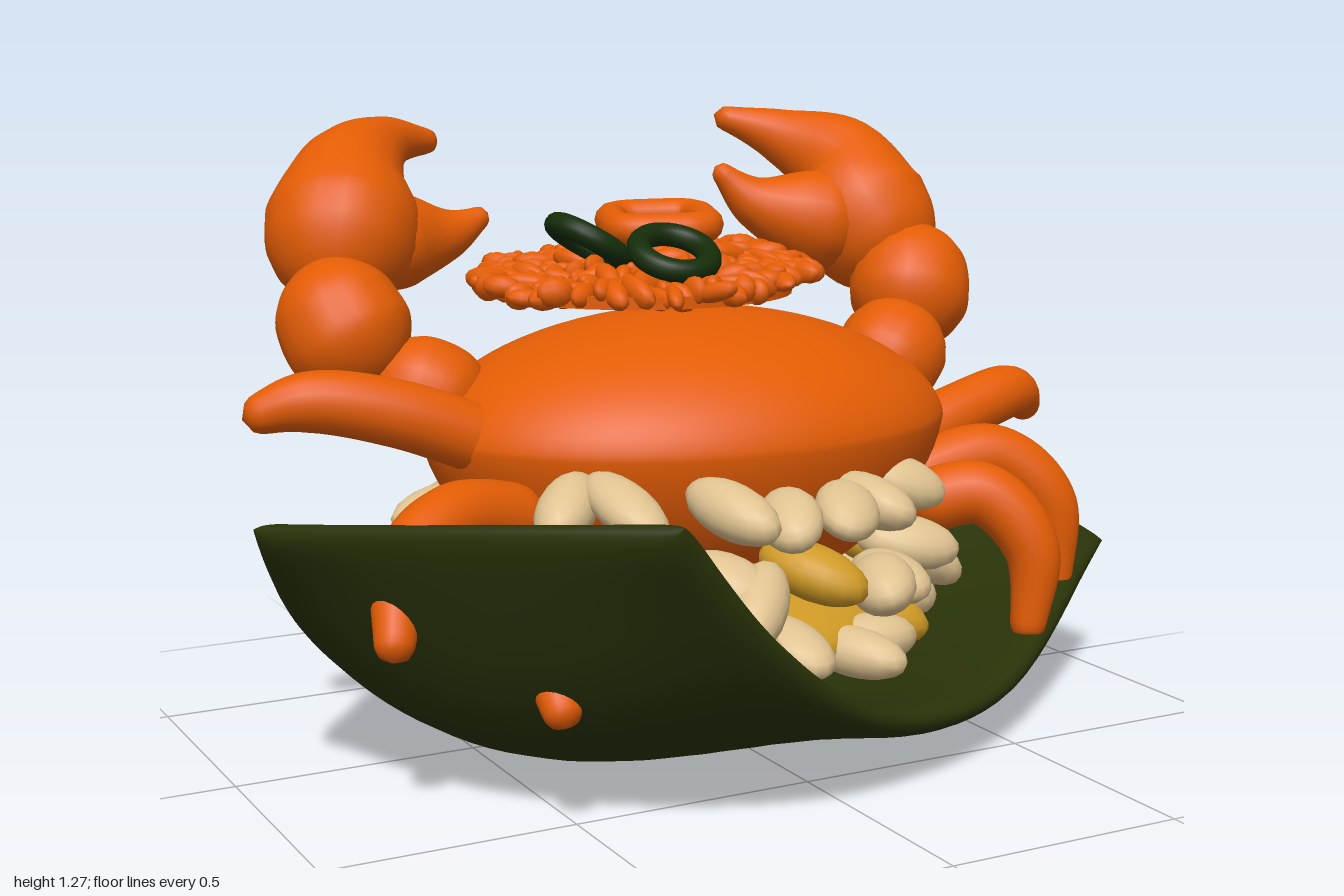
import * as THREE from 'three';
import { mergeVertices, mergeGeometries } from 'three/addons/utils/BufferGeometryUtils.js';
import { ParametricGeometry } from 'three/addons/geometries/ParametricGeometry.js';

const V = (p) => new THREE.Vector3(...p);

function material(name, color) {
  const m = new THREE.MeshStandardMaterial({ color });
  m.name = name;
  return m;
}

// Seeded random in -1..1
let seed = 7;
function rnd() {
  seed = (seed * 16807) % 2147483647;
  return (seed / 2147483647) * 2 - 1;
}

// Weld a geometry and give it continuous smooth normals
function smooth(g) {
  g.deleteAttribute('uv');
  g.deleteAttribute('normal');
  g = mergeVertices(g, 1e-5);
  g.computeVertexNormals();
  return g;
}

// Round-ended limb swept along a curve, with one radius per point
function limbGeometry(points, radii) {
  const curve = new THREE.CatmullRomCurve3(points.map(V));
  const width = new THREE.SplineCurve(radii.map((r, i) => new THREE.Vector2(i, r)));
  const seg = 40, sides = 18, length = curve.getLength();
  const g = new THREE.TubeGeometry(curve, seg, 1, sides);
  const pos = g.attributes.position, p = new THREE.Vector3();
  const cap = (d, r) => Math.sqrt(Math.max(0, 1 - (1 - Math.min(d / r, 1)) ** 2));
  for (let i = 0; i <= seg; i++) {
    const t = i / seg, c = curve.getPointAt(t);
    const r = width.getPoint(curve.getUtoTmapping(t)).y;
    const s = r * cap(t * length, radii[0]) * cap((1 - t) * length, radii[radii.length - 1]);
    for (let j = 0; j <= sides; j++) {
      const k = i * (sides + 1) + j;
      p.fromBufferAttribute(pos, k).sub(c).multiplyScalar(s).add(c);
      pos.setXYZ(k, p.x, p.y, p.z);
    }
  }
  return smooth(g);
}

// Curved wrapper sheet: three guide curves, thickened with a rounded rim
function wrapperGeometry() {
  const rows = [
    [[-1.0, 0.55, 0.18], [-0.81, 0.31, -0.1], [-0.45, 0.13, -0.55], [0, 0.31, -0.79], [0.38, 0.55, -0.89]],
    [[-0.76, 0.6, 0.53], [-0.56, 0.15, 0.35], [0, 0.037, 0], [0.5, 0.14, -0.28], [0.83, 0.43, -0.42]],
    [[-0.48, 0.64, 0.89], [-0.24, 0.38, 0.81], [0.04, 0.18, 0.71], [0.42, 0.13, 0.55], [1.0, 0.3, 0.14]],
  ].map((r) => new THREE.CatmullRomCurve3(r.map(V)));
  const surface = (u, v) => {
    const [a, b, c] = rows.map((r) => r.getPoint(u));
    return a.multiplyScalar((1 - v) * (1 - 2 * v)).addScaledVector(b, 4 * v * (1 - v)).addScaledVector(c, v * (2 * v - 1));
  };
  const clamp = (x) => THREE.MathUtils.clamp(x, 0, 1);
  const rim = (x) => Math.sqrt(Math.max(0, 1 - Math.abs(2 * x - 1) ** 22));
  const side = (sign) => new ParametricGeometry((a, b, target) => {
    if (sign > 0) a = 1 - a;
    const u = 0.5 - 0.5 * Math.cos(Math.PI * clamp(a)), v = 0.5 - 0.5 * Math.cos(Math.PI * clamp(b)), e = 0.01;
    const du = surface(clamp(u + e), v).sub(surface(clamp(u - e), v));
    const dv = surface(u, clamp(v + e)).sub(surface(u, clamp(v - e)));
    const up = dv.cross(du).normalize();
    target.copy(surface(u, v)).addScaledVector(up, sign * 0.036 * rim(u) * rim(v));
  }, 48, 40);
  return smooth(mergeGeometries([side(1), side(-1)]));
}

// Lens-shaped upper shell with a deeper, narrower belly
function bodyGeometry() {
  const g = new THREE.SphereGeometry(1, 56, 40), pos = g.attributes.position;
  for (let i = 0; i < pos.count; i++) {
    const x = pos.getX(i), y = pos.getY(i), z = pos.getZ(i);
    const k = y < 0 ? 1 + 0.12 * y : 1;
    const h = y > 0 ? 0.245 * y ** 1.15 : 0.4 * y;
    pos.setXYZ(i, x * 0.585 * k, h, z * 0.445 * k);
  }
  return smooth(g).translate(0.03, 0.63, -0.06);
}

export function createModel() {
  seed = 7;
  const group = new THREE.Group();
  const orange = material('crab orange', 0xe35c04);
  const leaf = material('wrapper green', 0x293308);
  const grain = material('grain beige', 0xdfc290);
  const gold = material('sauce gold', 0xcf9a26);
  const scallion = material('ring green', 0x142c08);

  const add = (name, geometry, mat) => {
    const m = new THREE.Mesh(geometry, mat);
    m.name = name;
    group.add(m);
    return m;
  };
  const limb = (name, points, radii) => add(name, limbGeometry(points, radii), orange);

  add('wrapper', wrapperGeometry(), leaf);
  add('body', bodyGeometry(), orange);

  // Arms and claws
  limb('leftShoulder', [[0.5, 0.65, -0.1], [0.61, 0.72, -0.16], [0.72, 0.79, -0.21]], [0.1, 0.125, 0.1]);
  limb('leftForearm', [[0.66, 0.74, -0.18], [0.72, 0.86, -0.25], [0.76, 0.99, -0.33]], [0.12, 0.14, 0.11]);
  limb('leftClaw', [[0.76, 0.88, -0.28], [0.68, 1.02, -0.4], [0.66, 1.13, -0.48], [0.55, 1.2, -0.57], [0.41, 1.25, -0.64]], [0.12, 0.165, 0.125, 0.066, 0.025]);
  limb('leftClawThumb', [[0.66, 0.99, -0.38], [0.52, 1.02, -0.4], [0.4, 1.06, -0.43], [0.31, 1.14, -0.45]], [0.13, 0.11, 0.06, 0.02]);
  limb('rightShoulder', [[-0.42, 0.65, -0.1], [-0.52, 0.71, -0.15], [-0.64, 0.77, -0.19]], [0.1, 0.12, 0.1]);
  limb('rightForearm', [[-0.62, 0.74, -0.16], [-0.67, 0.85, -0.23], [-0.7, 0.98, -0.31]], [0.12, 0.135, 0.11]);
  limb('rightClaw', [[-0.68, 0.91, -0.28], [-0.61, 1.04, -0.4], [-0.56, 1.14, -0.48], [-0.45, 1.205, -0.57], [-0.31, 1.205, -0.63]], [0.12, 0.165, 0.12, 0.062, 0.025]);
  limb('rightClawThumb', [[-0.6, 1.01, -0.38], [-0.47, 1.01, -0.4], [-0.37, 1.02, -0.4], [-0.28, 1.06, -0.4]], [0.13, 0.1, 0.055, 0.02]);

  // Walking legs; two of them push through the wrapper
  const legs = {
    leftBackLeg: [[0.48, 0.52, 0], [0.7, 0.6, -0.01], [0.86, 0.63, -0.04], [0.97, 0.57, -0.12]],
    leftMiddleLeg: [[0.46, 0.48, 0.1], [0.68, 0.53, 0.15], [0.79, 0.43, 0.21], [0.8, 0.22, 0.23]],
    leftFrontLeg: [[0.42, 0.45, 0.2], [0.56, 0.48, 0.28], [0.64, 0.37, 0.35], [0.62, 0.17, 0.37]],
    rightBackLeg: [[-0.42, 0.62, 0.03], [-0.65, 0.71, 0], [-0.82, 0.74, -0.04], [-0.94, 0.71, -0.07]],
    rightMiddleLeg: [[-0.42, 0.5, 0.15], [-0.62, 0.54, 0.22], [-0.75, 0.48, 0.3], [-0.82, 0.33, 0.41]],
    rightFrontLeg: [[-0.36, 0.45, 0.25], [-0.48, 0.46, 0.34], [-0.54, 0.36, 0.45], [-0.56, 0.22, 0.59]],
  };
  for (const [name, points] of Object.entries(legs)) limb(name, points, [0.07, 0.068, 0.06, 0.035]);

  // Sauce under loose rings of grains, a few of them glazed
  const mound = add('sauce', new THREE.SphereGeometry(1, 32, 20), gold);
  mound.position.set(-0.03, 0.25, 0);
  mound.scale.set(0.45, 0.13, 0.5);
  const grains = [], glazed = [], dummy = new THREE.Object3D();
  for (const [count, y, k, tilt] of [[23, 0.26, 0.93, 0], [24, 0.36, 1.03, 0.08], [20, 0.49, 0.95, 0.13]]) {
    for (let i = 0; i < count; i++) {
      const a = ((i + 0.4 * rnd()) / count) * Math.PI * 2 + y * 9;
      const r = k + 0.06 * rnd(), z = Math.sin(a) * 0.53 * r;
      dummy.position.set(-0.05 + Math.cos(a) * 0.49 * r, y + tilt * z + 0.03 * rnd(), z);
      dummy.rotation.set(0.4 * rnd(), -a + 0.9 * rnd(), -0.25 + 0.3 * rnd(), 'YXZ');
      dummy.scale.set(0.105 + 0.015 * rnd(), 0.05 + 0.007 * rnd(), 0.064 + 0.008 * rnd());
      dummy.updateMatrix();
      const list = y < 0.4 && i % 5 === 2 ? glazed : grains;
      list.push(new THREE.SphereGeometry(1, 16, 10).applyMatrix4(dummy.matrix));
    }
  }
  add('grains', mergeGeometries(grains), grain);
  add('glazedGrains', mergeGeometries(glazed), gold);

  // Lumpy, ragged roe disc floating above the shell
  const roe = [new THREE.CylinderGeometry(0.33, 0.33, 0.025, 40).translate(-0.03, 0.9125, -0.17)];
  for (let i = 0; i < 260; i++) {
    const q = Math.sqrt((i + 0.5) / 260), a = i * 2.39996;
    const reach = 1 + 0.05 * Math.sin(5 * a) + 0.04 * rnd();
    const x = -0.02 + Math.cos(a) * 0.365 * q * reach, z = -0.17 + Math.sin(a) * 0.335 * q * reach;
    const peak = Math.max(0, 1 - Math.hypot(x - 0.1, z + 0.25) / 0.42);
    dummy.position.set(x, 0.925 + 0.065 * peak + 0.01 * rnd(), z);
    dummy.rotation.set(0.4 * rnd(), -a + 0.9 * rnd(), 0.4 * rnd(), 'YXZ');
    dummy.scale.set(0.045 + 0.014 * rnd(), 0.025 + 0.007 * rnd(), 0.022 + 0.006 * rnd());
    dummy.updateMatrix();
    roe.push(new THREE.SphereGeometry(1, 10, 7).applyMatrix4(dummy.matrix));
  }
  add('roe', mergeGeometries(roe), orange);

  // Rounded-square garnish ring
  const loop = [];
  for (let i = 0; i < 24; i++) {
    const a = (i / 24) * Math.PI * 2, c = Math.cos(a), s = Math.sin(a);
    const r = 1 / (c ** 4 + s ** 4) ** 0.25;
    loop.push(new THREE.Vector3(0.1 * r * c, 0, 0.115 * r * s));
  }
  const square = add('squareRing', new THREE.TubeGeometry(new THREE.CatmullRomCurve3(loop, true), 64, 0.035, 12, true), orange);
  square.position.set(0.05, 1.04, -0.23);
  square.rotation.set(0.06, -0.33, 0.04);

  // Two green garnish rings leaning on the roe
  const ringA = add('greenRingTilted', new THREE.TorusGeometry(0.078, 0.025, 14, 40).rotateX(Math.PI / 2), scallion);
  ringA.position.set(-0.17, 1.015, -0.12);
  ringA.rotation.z = -0.55;
  const ringB = add('greenRingFlat', new THREE.TorusGeometry(0.075, 0.025, 14, 40).rotateX(Math.PI / 2), scallion);
  ringB.position.set(-0.045, 1.0, 0.025);
  ringB.rotation.x = 0.45;

  return group;
}
